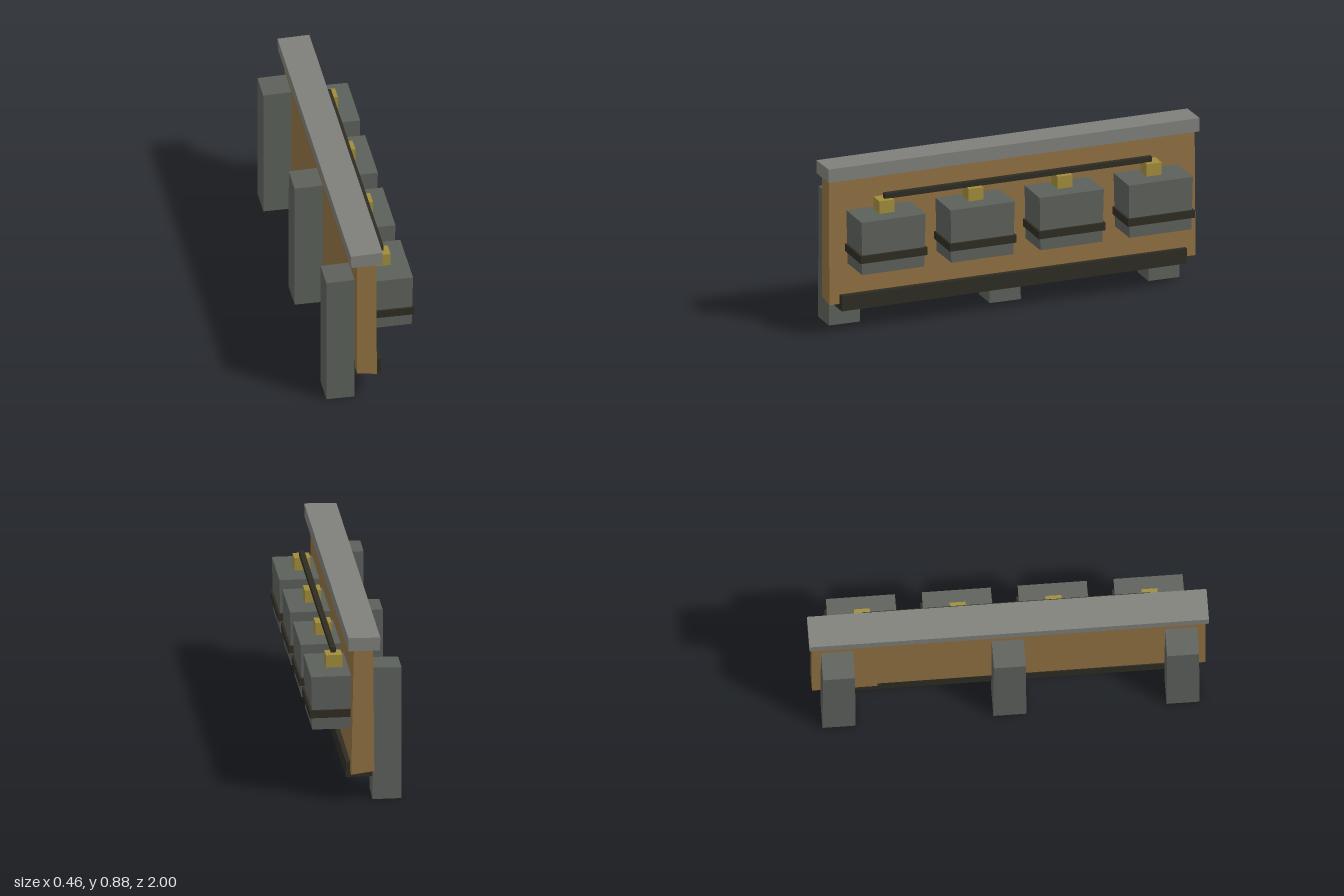
import * as THREE from 'three';

const mat = (name, color) => {
  const m = new THREE.MeshStandardMaterial({ color });
  m.name = name;
  return m;
};

export function createModel() {
  const root = new THREE.Group();
  root.name = 'fencePanel';
  const capStone = mat('capGrey', 0x7f7f7a);
  const wood = mat('wood', 0x8f7041);
  const iron = mat('ironGrey', 0x5c605a);
  const dark = mat('darkMetal', 0x2e2c22);
  const brass = mat('brass', 0xa18c3a);

  // Box given by its bounds; an optional rule nudges corners for a hand-hewn look.
  // The rule receives the side signs (sx, sy, sz) and returns an offset.
  function block(name, material, [x0, x1], [y0, y1], [z0, z1], nudge) {
    let g = new THREE.BoxGeometry(x1 - x0, y1 - y0, z1 - z0);
    if (nudge) {
      g = g.toNonIndexed();
      const p = g.attributes.position;
      for (let i = 0; i < p.count; i++) {
        const x = p.getX(i), y = p.getY(i), z = p.getZ(i);
        const [dx, dy, dz] = nudge(Math.sign(x), Math.sign(y), Math.sign(z));
        p.setXYZ(i, x + dx, y + dy, z + dz);
      }
      g.computeVertexNormals();
    }
    const mesh = new THREE.Mesh(g, material);
    mesh.name = name;
    mesh.position.set((x0 + x1) / 2, (y0 + y1) / 2, (z0 + z1) / 2);
    root.add(mesh);
  }

  // Long board with a slanted lower edge, a little thicker at the back end
  block('board', wood, [-0.08, 0.017], [0.15, 0.815], [-0.985, 0.985], (sx, sy, sz) => [
    sy < 0 && sz < 0 ? (sx > 0 ? 0.013 : -0.006) : sx > 0 && sy < 0 ? 0.003 : 0,
    sy < 0 && sx < 0 ? 0.016 : 0,
    0,
  ]);

  // Capping beam and bottom rail
  block('cap', capStone, [-0.115, 0.047], [0.81, 0.882], [-1, 1], (sx, sy) => [
    sy < 0 ? (sx < 0 ? 0.003 : -0.002) : 0, sx < 0 && sy > 0 ? -0.004 : 0, 0,
  ]);
  block('bottomRail', dark, [-0.085, 0.05], [0.12, 0.2], [-0.93, 0.93]);

  // Posts behind the board
  for (const z of [-0.86, -0.005, 0.862]) {
    block('post', iron, [-0.228, -0.085], [0.002, 0.698], [z - 0.08, z + 0.08], (sx, sy, sz) => [
      sx > 0 && sy < 0 && sz < 0 ? 0.004 : 0, sx < 0 && sy > 0 ? -0.003 : 0, sy < 0 ? sz * 0.003 : 0,
    ]);
  }

  // Boxes on the face, each with a strap and a terminal
  for (const z of [-0.72, -0.24, 0.24, 0.72]) {
    block('box', iron, [0.02, 0.218], [0.361, 0.643], [z - 0.17, z + 0.17], (sx, sy, sz) => [
      sx > 0 ? sy * 0.003 : 0, sx > 0 && sy < 0 ? 0.002 : 0, sy * sz * 0.003,
    ]);
    block('strap', dark, [0.02, 0.228], [0.427, 0.467], [z - 0.18, z + 0.18]);
    block('terminal', brass, [0.05, 0.132], [0.638, 0.708], [z - 0.04, z + 0.04]);
  }

  // Bar joining the terminals
  block('connectingBar', dark, [0.078, 0.104], [0.707, 0.734], [-0.72, 0.72]);

  return root;
}
